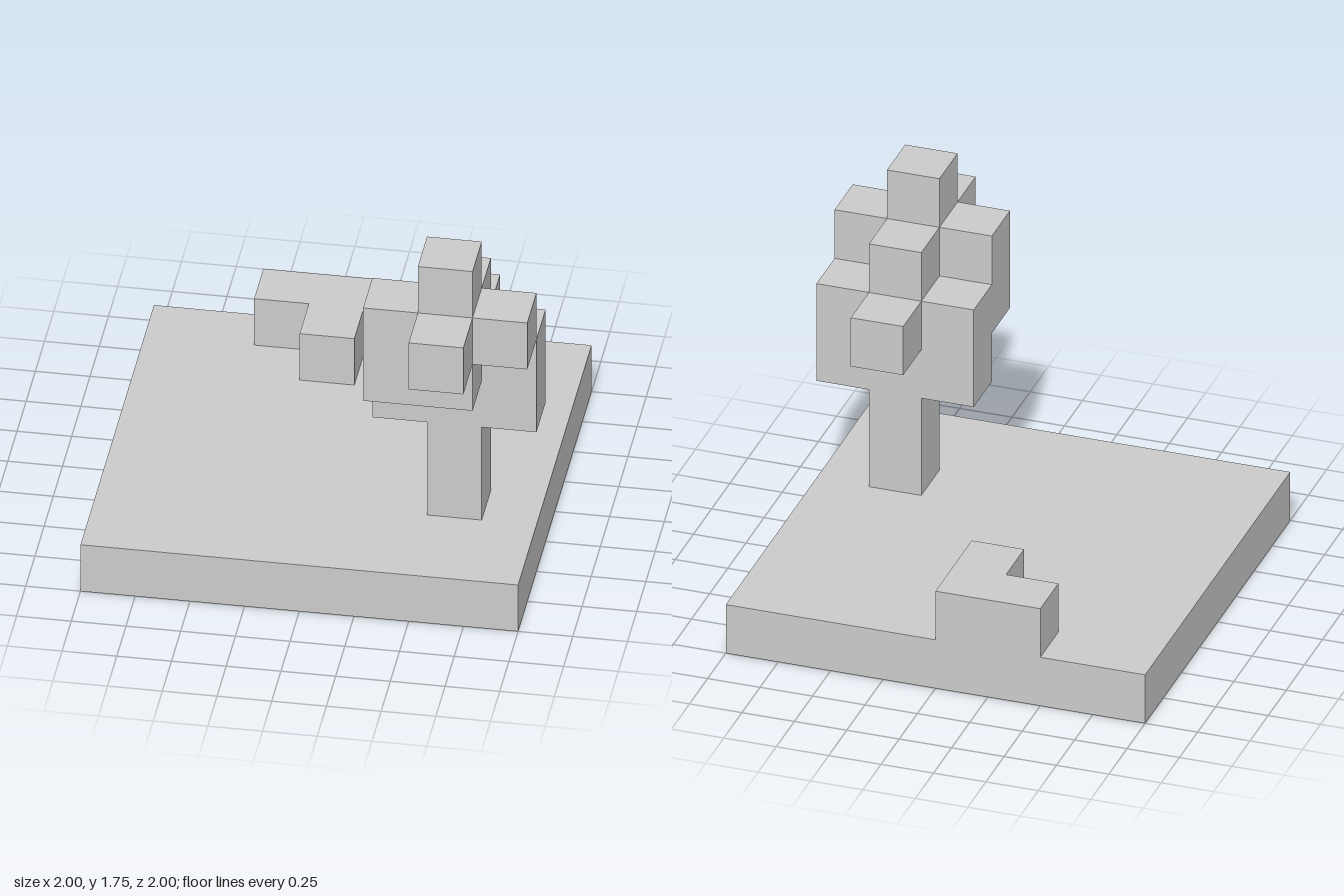
import * as THREE from 'three';

const U = 0.25; // one block

export function createModel() {
  const model = new THREE.Group();
  const material = new THREE.MeshStandardMaterial({ color: 0xcccccc, flatShading: true });

  // Box from its lowest corner and its size, both counted in blocks
  function block(parent, name, [x, y, z], [w, h, d]) {
    const mesh = new THREE.Mesh(new THREE.BoxGeometry(w * U, h * U, d * U), material);
    mesh.position.set((x + w / 2) * U, (y + h / 2) * U, (z + d / 2) * U);
    mesh.name = name;
    parent.add(mesh);
  }

  function group(name) {
    const g = new THREE.Group();
    g.name = name;
    model.add(g);
    return g;
  }

  // Ground slab
  block(model, 'ground', [-4, 0, -4], [8, 1, 8]);

  // L-shaped step at the back edge
  const step = group('step');
  block(step, 'stepLong', [-1, 1, -4], [1, 1, 2]);
  block(step, 'stepShort', [-2, 1, -4], [1, 1, 1]);

  // Tree: trunk rising through the crown
  const tree = group('tree');
  block(tree, 'trunk', [2, 1, 1], [1, 5, 1]);

  // Rear leaves: a two-block column on each side and one block behind
  for (const x of [1, 3]) block(tree, 'sideLeaves', [x, 3, 1], [1, 2, 1]);
  block(tree, 'backLeaf', [2, 4, 0], [1, 1, 1]);

  // Front leaves: column with the treetop, side leaves and a front block
  block(tree, 'treetop', [2, 4, 2], [1, 3, 1]);
  block(tree, 'rightLeaves', [1, 4, 2], [1, 2, 1]);
  block(tree, 'leftLeaf', [3, 5, 2], [1, 1, 1]);
  block(tree, 'frontLeaf', [2, 5, 3], [1, 1, 1]);

  return model;
}
